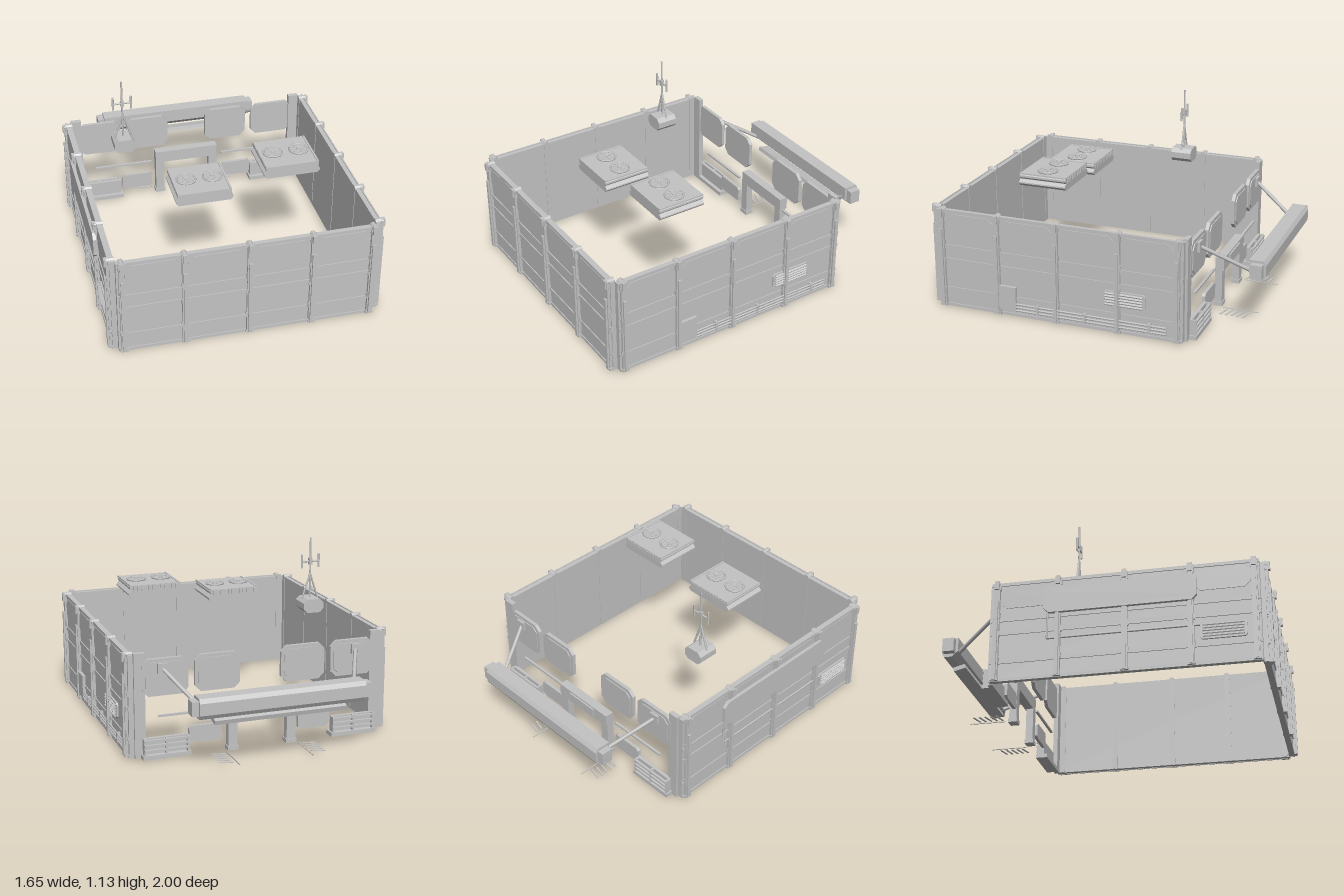
import * as THREE from 'three';

const grey = new THREE.MeshStandardMaterial({ color: 0xc4c4c4 });
grey.name = 'light grey';

function add(parent, name, geometry, x = 0, y = 0, z = 0) {
  const m = new THREE.Mesh(geometry, grey);
  m.name = name;
  m.position.set(x, y, z);
  parent.add(m);
  return m;
}

// Box given by its min and max on each axis
function box(parent, name, x0, x1, y0, y1, z0, z1) {
  const g = new THREE.BoxGeometry(Math.abs(x1 - x0), y1 - y0, Math.abs(z1 - z0));
  return add(parent, name, g, (x0 + x1) / 2, (y0 + y1) / 2, (z0 + z1) / 2);
}

// Rectangle with cut corners, extruded along z and centred
function chamferPlate(w, h, d, c) {
  const a = w / 2, b = h / 2;
  const pts = [[-a + c, -b], [a - c, -b], [a, -b + c], [a, b - c], [a - c, b], [-a + c, b], [-a, b - c], [-a, -b + c]];
  const s = new THREE.Shape(pts.map(p => new THREE.Vector2(...p)));
  return new THREE.ExtrudeGeometry(s, { depth: d, bevelEnabled: false }).translate(0, 0, -d / 2);
}

// Round or square bar between two points
function bar(parent, name, a, b, r, sides = 8) {
  const p = new THREE.Vector3(...a), q = new THREE.Vector3(...b);
  const m = add(parent, name, new THREE.CylinderGeometry(r, r, p.distanceTo(q), sides));
  m.position.copy(p).add(q).multiplyScalar(0.5);
  m.quaternion.setFromUnitVectors(new THREE.Vector3(0, 1, 0), q.sub(p).normalize());
  return m;
}

// Wall in its own frame: x along the wall, outer face at z = 0
function wall(name, x0, x1, ribs) {
  const g = new THREE.Group();
  g.name = name;
  box(g, 'wallSlab', x0, x1, 0.015, 0.625, -0.03, 0);
  for (const [y0, y1] of [[0.61, 0.63], [0.382, 0.408], [0.297, 0.322], [0.12, 0.137], [0.012, 0.03]])
    box(g, 'wallRail', x0, x1, y0, y1, -0.002, 0.006);
  ribs.forEach((x, i) => {
    // Rib with a slimmer raised strip and a capped top
    const rib = chamferPlate(0.034, 0.622, 0.05, 0.01);
    add(g, 'rib', rib, x, 0.327, -0.008);
    box(g, 'ribStrip', x - 0.01, x + 0.01, 0.02, 0.51, 0.01, 0.028);
    box(g, 'ribCap', x - 0.013, x + 0.013, 0.585, 0.636, 0.01, 0.028);
    box(g, 'ribFoot', x - 0.022, x + 0.022, 0.015, 0.03, -0.03, 0.022);
    for (const y of [0.14, 0.305, 0.42, 0.6])
      box(g, 'ribClip', x - 0.021, x + 0.021, y - 0.018, y + 0.018, 0, 0.012);
    // Cut-corner panel between this rib and the next
    if (i < ribs.length - 1) {
      const n = ribs[i + 1];
      add(g, 'upperPanel', chamferPlate(n - x - 0.04, 0.14, 0.006, 0.035), (x + n) / 2, 0.535, 0.002);
    }
  });
  return g;
}

// Louvred vent in a wall frame
function vent(g, x, y) {
  add(g, 'ventFrame', chamferPlate(0.26, 0.095, 0.012, 0.012), x, y, 0.005);
  for (let i = 0; i < 5; i++) {
    const s = add(g, 'ventSlat', new THREE.BoxGeometry(0.23, 0.006, 0.014), x, y - 0.034 + i * 0.017, 0.014);
    s.rotation.x = 0.5;
  }
}

// Roof cooling unit with two fans
function coolingUnit(x, y, z) {
  const g = new THREE.Group();
  g.name = 'coolingUnit';
  g.position.set(x, y, z);
  add(g, 'lowerCasing', chamferPlate(0.342, 0.04, 0.296, 0.016), 0, 0.02, 0);
  add(g, 'upperCasing', chamferPlate(0.322, 0.036, 0.296, 0.012), 0, 0.057, 0);
  for (const s of [-1, 1]) {
    box(g, 'sideRail', s * 0.15, s * 0.162, 0.07, 0.078, -0.148, 0.148);
    const ring = add(g, 'fanRing', new THREE.TorusGeometry(0.056, 0.006, 6, 24), s * 0.08, 0.084, 0);
    ring.rotation.x = Math.PI / 2;
    add(g, 'fanBase', new THREE.CylinderGeometry(0.056, 0.06, 0.01, 24), s * 0.08, 0.078, 0);
    add(g, 'fanHub', new THREE.CylinderGeometry(0.014, 0.014, 0.012, 12), s * 0.08, 0.087, 0);
    for (let i = 0; i < 10; i++) {
      const b = add(g, 'fanBlade', new THREE.BoxGeometry(0.042, 0.003, 0.011).translate(0.03, 0, 0), s * 0.08, 0.087, 0);
      b.rotation.set(0, i * Math.PI / 5, 0);
    }
  }
  for (let i = 0; i < 12; i++)
    box(g, 'grilleFin', -0.145 + i * 0.025, -0.133 + i * 0.025, 0.042, 0.07, -0.154, -0.147);
  return g;
}

// Mast on a cut-corner base
function antenna() {
  const g = new THREE.Group();
  g.name = 'antenna';
  g.position.set(-0.5, 0, -0.165);
  add(g, 'mastBase', chamferPlate(0.13, 0.085, 0.13, 0.024), 0, 0.71, 0);
  bar(g, 'mast', [0, 0.75, 0], [0, 1.13, 0], 0.006);
  box(g, 'mastCollar', -0.01, 0.01, 0.96, 1.0, -0.01, 0.01);
  bar(g, 'crossArm', [-0.06, 0.98, 0], [0.06, 0.98, 0], 0.006);
  for (const s of [-1, 1]) {
    bar(g, 'mastBrace', [s * 0.052, 0.745, 0], [0, 0.905, 0], 0.006);
    bar(g, 'armTip', [s * 0.056, 0.94, 0], [s * 0.056, 1.024, 0], 0.007);
  }
  return g;
}

// Rear face: everything mirrored on both sides, plus the beam and doorway
function rear() {
  const g = new THREE.Group();
  g.name = 'rear';
  const profile = [[0.9, 0.37], [0.935, 0.335], [0.985, 0.335], [1, 0.36], [1, 0.43], [0.985, 0.455], [0.9, 0.455]];
  const shape = new THREE.Shape(profile.map(p => new THREE.Vector2(...p)));
  const beam = new THREE.ExtrudeGeometry(shape, { depth: 1.0, bevelEnabled: false });
  add(g, 'overheadBeam', beam.rotateY(Math.PI / 2).translate(-0.5, 0, 0));
  const lamp = add(g, 'beamLamp', new THREE.BoxGeometry(0.8, 0.026, 0.075), 0, 0.305, -0.92);
  lamp.rotation.x = -0.25;
  box(g, 'doorHeader', -0.21, 0.21, 0.235, 0.315, -0.665, -0.61);
  box(g, 'doorHeaderTrim', -0.1, 0.11, 0.245, 0.305, -0.675, -0.66);

  for (const s of [-1, 1]) {
    box(g, 'beamEnd', s * 0.495, s * 0.54, 0.355, 0.44, -0.985, -0.915);
    bar(g, 'beamStrut', [s * 0.6, 0.54, -0.63], [s * 0.455, 0.365, -0.92], 0.012, 6);
    box(g, 'strutBracket', s * 0.57, s * 0.63, 0.51, 0.57, -0.645, -0.615);
    box(g, 'cornerPost', s * 0.7, s * 0.765, 0.01, 0.635, -0.62, -0.59);
    box(g, 'doorPost', s * 0.155, s * 0.21, 0.01, 0.24, -0.655, -0.61);
    box(g, 'doorPostFoot', s * 0.15, s * 0.215, 0.005, 0.03, -0.66, -0.605);
    // Upper windows and their raised panes
    for (const x of [0.265, 0.58]) {
      add(g, 'window', chamferPlate(0.275, 0.22, 0.022, 0.035), s * x, 0.485, -0.612);
      add(g, 'windowPane', chamferPlate(0.235, 0.18, 0.008, 0.03), s * x, 0.485, -0.625);
    }
    box(g, 'sillBar', s * 0.24, s * 0.62, 0.245, 0.257, -0.62, -0.605);
    add(g, 'lowerPanel', chamferPlate(0.2, 0.1, 0.02, 0.015), s * 0.34, 0.12, -0.612);
    // Slatted box at the corner
    box(g, 'cornerUnit', s * 0.44, s * 0.73, 0.01, 0.035, -0.665, -0.59);
    box(g, 'cornerUnitBack', s * 0.45, s * 0.72, 0.03, 0.13, -0.635, -0.615);
    for (const y of [0.055, 0.085, 0.115])
      box(g, 'cornerUnitSlat', s * 0.45, s * 0.72, y, y + 0.012, -0.665, -0.65);
    for (const x of [0.45, 0.58, 0.71])
      box(g, 'cornerUnitPost', s * x, s * (x + 0.012), 0.03, 0.13, -0.66, -0.63);
    // Ground markings
    for (let i = 0; i < 5; i++) {
      const m = add(g, 'groundStripe', new THREE.BoxGeometry(0.08, 0.004, 0.011), s * 0.285, 0.004, -0.83 + i * 0.035);
      m.rotation.y = -0.25;
    }
    box(g, 'groundLine', s * 0.223, s * 0.229, 0.002, 0.006, -0.89, -0.67);
  }
  return g;
}

export function createModel() {
  const model = new THREE.Group();
  model.name = 'building';

  const front = wall('frontWall', -0.765, 0.765, [-0.735, -0.375, 0.005, 0.38, 0.74]);
  front.position.z = 0.967;
  model.add(front);

  // Side walls: the local x axis runs to -z on the left and to +z on the right
  const ribs = [-0.91, -0.55, -0.175, 0.21, 0.57];
  const left = wall('leftWall', -0.94, 0.605, ribs);
  left.rotation.y = Math.PI / 2;
  left.position.x = 0.795;
  vent(left, 0.25, 0.225);
  box(left, 'utilityBox', -0.555, -0.43, 0.05, 0.2, 0, 0.02);
  for (const y of [0.055, 0.075, 0.095]) bar(left, 'pipe', [-0.43, y, 0.015], [0.51, y, 0.015], 0.006);
  for (const x of [-0.3, 0, 0.4]) box(left, 'pipeClamp', x, x + 0.015, 0.045, 0.105, 0, 0.022);
  model.add(left);

  const right = wall('rightWall', -0.605, 0.94, ribs.map(v => -v).reverse());
  right.rotation.y = -Math.PI / 2;
  right.position.x = -0.795;
  vent(right, 0.73, 0.21);
  add(right, 'signPanel', chamferPlate(0.88, 0.165, 0.02, 0.03), 0.15, 0.485, 0.023);
  bar(right, 'pipe', [-0.27, 0.44, 0.01], [-0.27, 0.25, 0.01], 0.006);
  bar(right, 'pipe', [-0.27, 0.25, 0.01], [0.6, 0.25, 0.01], 0.006);
  model.add(right);

  model.add(rear(), coolingUnit(-0.155, 0.665, 0.405), coolingUnit(0.385, 0.745, 0.362), antenna());
  return model;
}
